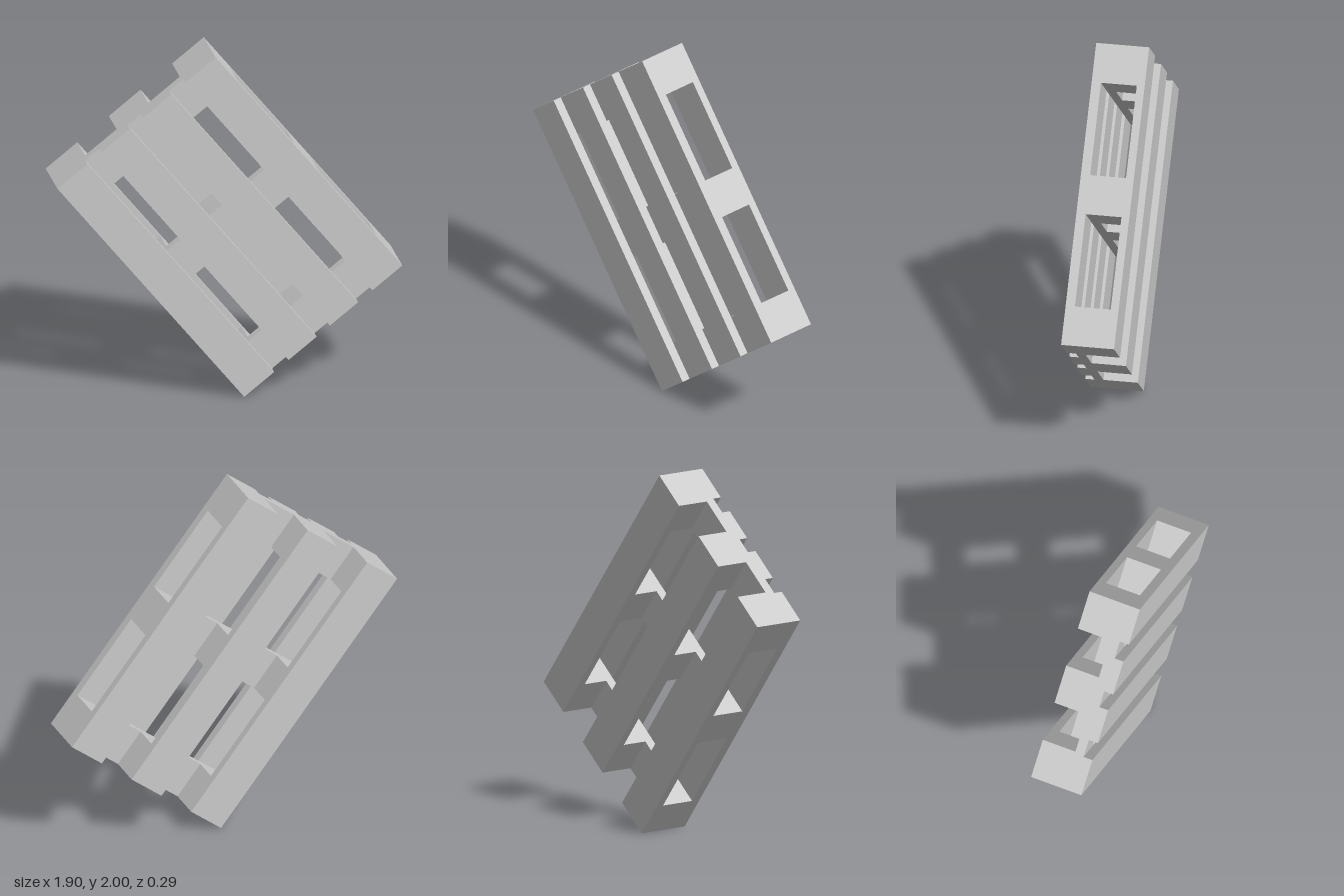
import * as THREE from 'three';

// Wooden pallet, tilted in its own plane so it stands on one corner
export function createModel() {
  const model = new THREE.Group();
  model.name = 'pallet';
  const pallet = new THREE.Group();
  pallet.name = 'tiltedPallet';
  model.add(pallet);

  const material = new THREE.MeshStandardMaterial({ color: 0xcccccc });
  const WIDTH = 1.11, LENGTH = 1.666;
  const BLOCK_W = 0.2225, BLOCK_L = 0.216;
  // layer boundaries from front to back
  const Z = [0.145, 0.094, 0.043, -0.102, -0.145];

  function plank(name, w, l, x, y, layer) {
    const depth = Z[layer] - Z[layer + 1];
    const mesh = new THREE.Mesh(new THREE.BoxGeometry(w, l, depth), material);
    mesh.name = name;
    mesh.position.set(x, y, (Z[layer] + Z[layer + 1]) / 2);
    pallet.add(mesh);
  }

  // deck: wide outer and narrower inner boards
  for (const side of [-1, 1]) {
    plank('outerDeckBoard', 0.21, LENGTH, side * (WIDTH - 0.21) / 2, 0, 0);
    plank('innerDeckBoard', 0.197, LENGTH, side * 0.1455, 0, 0);
  }

  // cross boards, spacer blocks and bottom runners
  for (const i of [-1, 0, 1]) {
    const y = i * (LENGTH - BLOCK_L) / 2;
    plank('crossBoard', WIDTH, BLOCK_L, 0, y, 1);
    for (const j of [-1, 0, 1]) {
      plank('spacerBlock', BLOCK_W, BLOCK_L, j * (WIDTH - BLOCK_W) / 2, y, 2);
    }
    plank('bottomRunner', BLOCK_W, LENGTH, i * (WIDTH - BLOCK_W) / 2, 0, 3);
  }

  pallet.rotation.z = THREE.MathUtils.degToRad(38.2);
  pallet.position.y = 1;
  return model;
}
